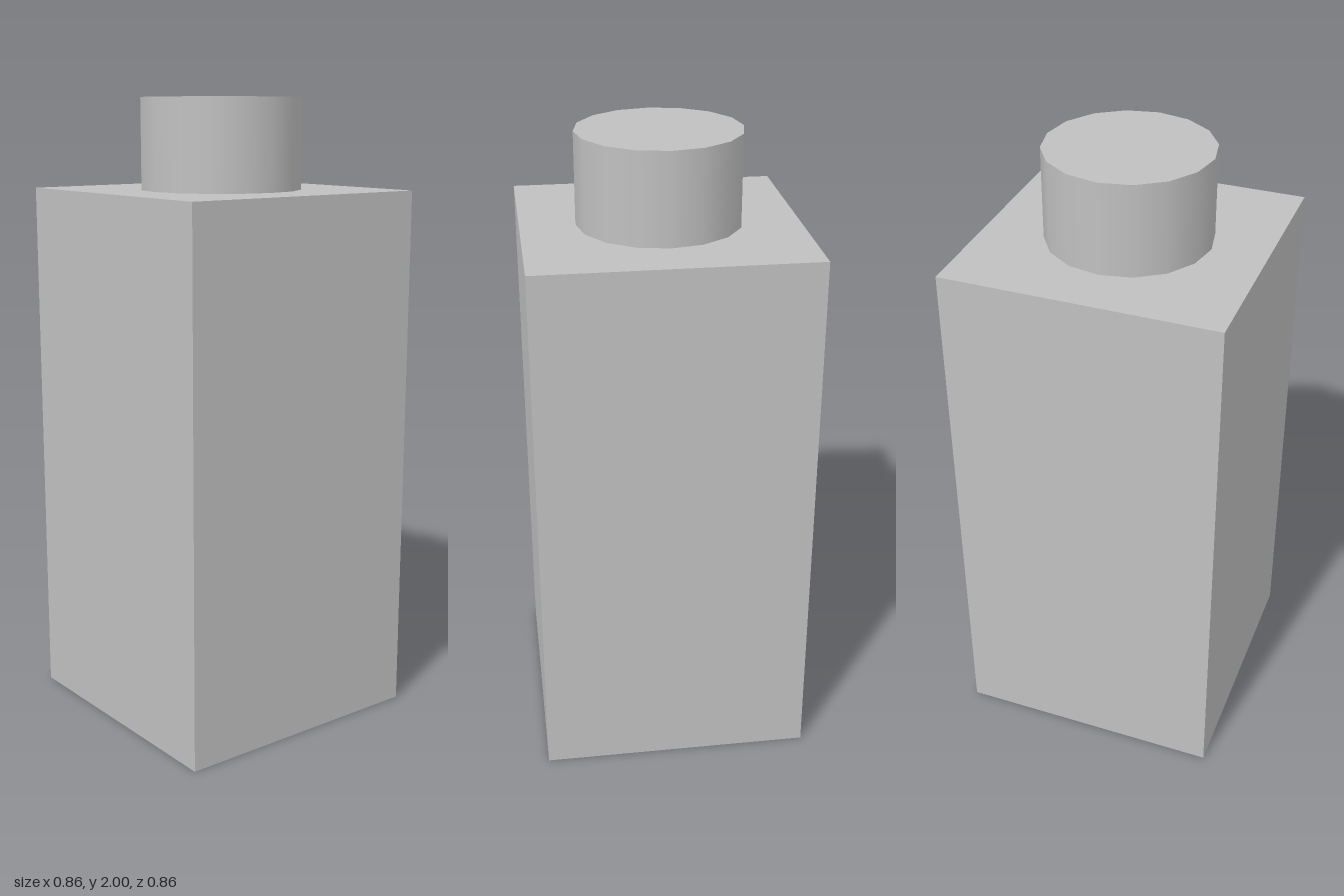
import * as THREE from 'three';

const HALF = 0.4286;      // half width of the square body
const INNER = 0.257;      // half width of the cavity, also the stud radius
const TOP = 1.714;        // height of the body
const CEILING = 1.43;     // height of the cavity ceiling

export function createModel() {
  const group = new THREE.Group();
  const grey = new THREE.MeshStandardMaterial({ color: 0xc0c0c0 });
  grey.name = 'light grey';

  // Hollow square body: a four-sided lathe, from the cavity ceiling round to the top
  const profile = [
    [0, CEILING], [INNER, CEILING], [INNER, 0],
    [HALF, 0], [HALF, TOP], [0, TOP],
  ].map(([half, y]) => new THREE.Vector2(half * Math.SQRT2, y));
  const shell = new THREE.LatheGeometry(profile, 4, Math.PI / 4).toNonIndexed();
  shell.computeVertexNormals();
  const body = new THREE.Mesh(shell, grey);
  body.name = 'body';
  group.add(body);

  // Round stud on top
  const stud = new THREE.Mesh(new THREE.CylinderGeometry(INNER, INNER, 2 - TOP, 16), grey);
  stud.name = 'stud';
  stud.position.y = (TOP + 2) / 2;
  group.add(stud);

  return group;
}
